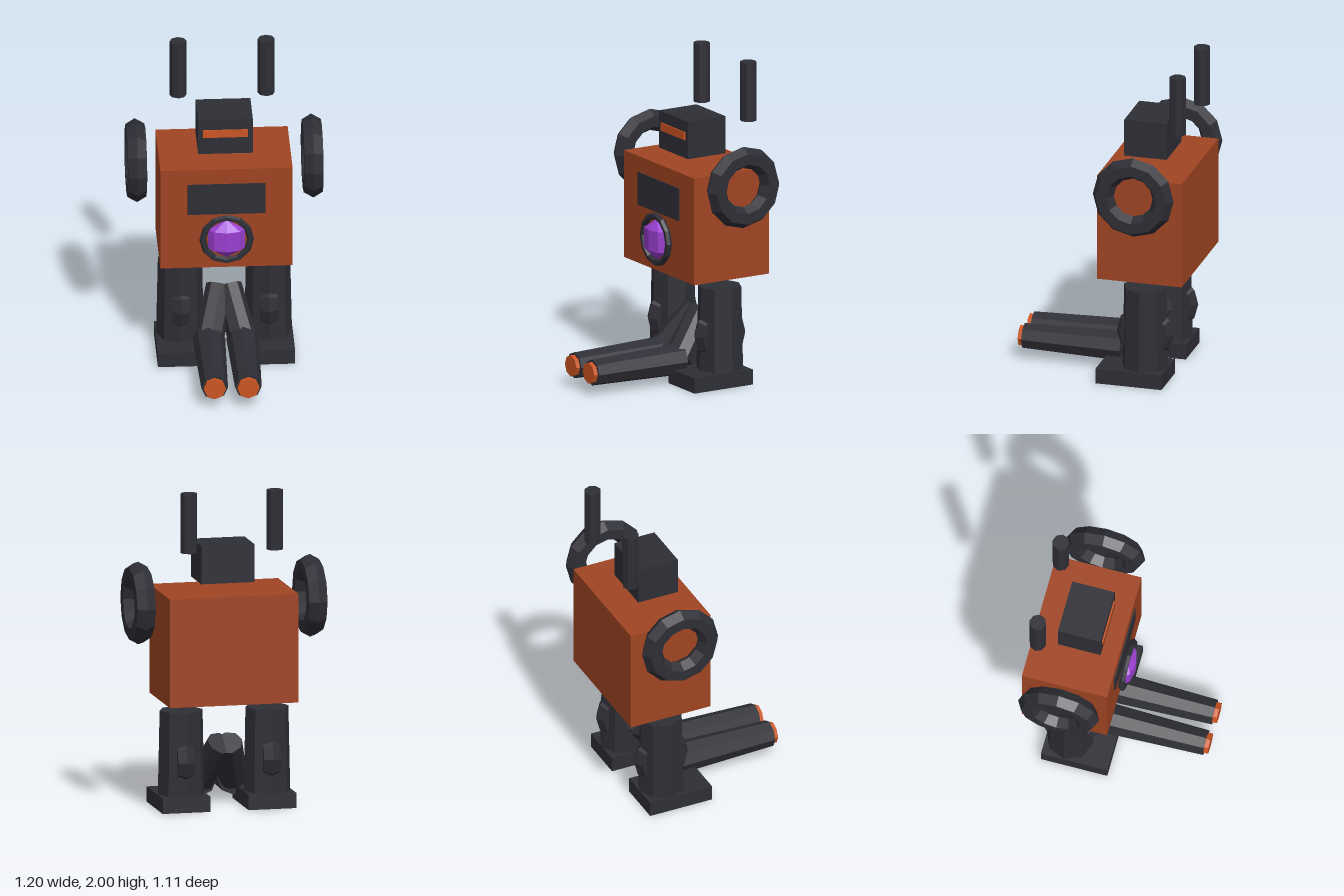
import * as THREE from 'three';

const flat = (name, color) => {
  const m = new THREE.MeshStandardMaterial({ color, flatShading: true });
  m.name = name;
  return m;
};

export function createModel() {
  const rust = flat('rust', 0xa04422);
  const orange = flat('orange', 0xcc5522);
  const dark = flat('darkMetal', 0x2e2e36);
  const purple = flat('purple', 0x9a3fd0);

  const model = new THREE.Group();
  model.name = 'robot';

  const add = (name, geometry, material, x, y, z) => {
    const mesh = new THREE.Mesh(geometry, material);
    mesh.name = name;
    mesh.position.set(x, y, z);
    model.add(mesh);
    return mesh;
  };
  const box = (w, h, d) => new THREE.BoxGeometry(w, h, d);

  // Eight-sided tapered tube between two points
  const tube = (name, material, from, to, r0, r1) => {
    const a = new THREE.Vector3(...from), b = new THREE.Vector3(...to);
    const dir = b.clone().sub(a);
    const mid = a.clone().add(b).multiplyScalar(0.5);
    const mesh = add(name, new THREE.CylinderGeometry(r1, r0, dir.length(), 8), material, mid.x, mid.y, mid.z);
    mesh.quaternion.setFromUnitVectors(new THREE.Vector3(0, 1, 0), dir.normalize());
    return mesh;
  };

  const zc = -0.285;

  // Torso and chest details
  add('torso', box(0.81, 0.675, 0.54), rust, 0, 1.018, zc);
  add('chestPanel', box(0.475, 0.205, 0.009), dark, 0, 1.153, -0.0115);
  add('coreRing', new THREE.TorusGeometry(0.147, 0.021, 6, 12), dark, 0, 0.885, 0.007);
  add('core', new THREE.SphereGeometry(0.13, 8, 3), purple, 0, 0.885, 0).scale.z = 0.52;

  // Head with visor
  add('head', box(0.335, 0.235, 0.27), dark, 0, 1.528, -0.255);
  add('visor', box(0.275, 0.05, 0.009), orange, 0, 1.55, -0.116);

  for (const s of [1, -1]) {
    const side = s > 0 ? 'left' : 'right';

    // Floating shoulder wheel and antenna
    add(side + 'ShoulderRing', new THREE.TorusGeometry(0.19, 0.067, 6, 12), dark, s * 0.54, 1.292, zc)
      .rotation.y = Math.PI / 2;
    add(side + 'Antenna', new THREE.CylinderGeometry(0.052, 0.052, 0.37, 8), dark, s * 0.27, 1.815, -0.49);

    // Leg, knee ring and foot
    add(side + 'Leg', new THREE.CylinderGeometry(0.135, 0.147, 0.555, 8), dark, s * 0.27, 0.3375, zc);
    add(side + 'KneeRing', new THREE.TorusGeometry(0.12, 0.061, 6, 12), dark, s * 0.27, 0.31, zc)
      .rotation.y = Math.PI / 2;
    add(side + 'Foot', box(0.3, 0.095, 0.42), dark, s * 0.27, 0.0475, -0.22);

    // Bent arm ending in a cannon barrel
    tube(side + 'UpperArm', dark, [s * 0.103, 0.14, -0.09], [s * 0.025, 0.4, -0.3], 0.09, 0.085);
    tube(side + 'Barrel', dark, [s * 0.103, 0.138, -0.1], [s * 0.103, 0.138, 0.53], 0.1, 0.082);
    tube(side + 'Muzzle', orange, [s * 0.103, 0.138, 0.52], [s * 0.103, 0.138, 0.557], 0.067, 0.067);
  }

  return model;
}
